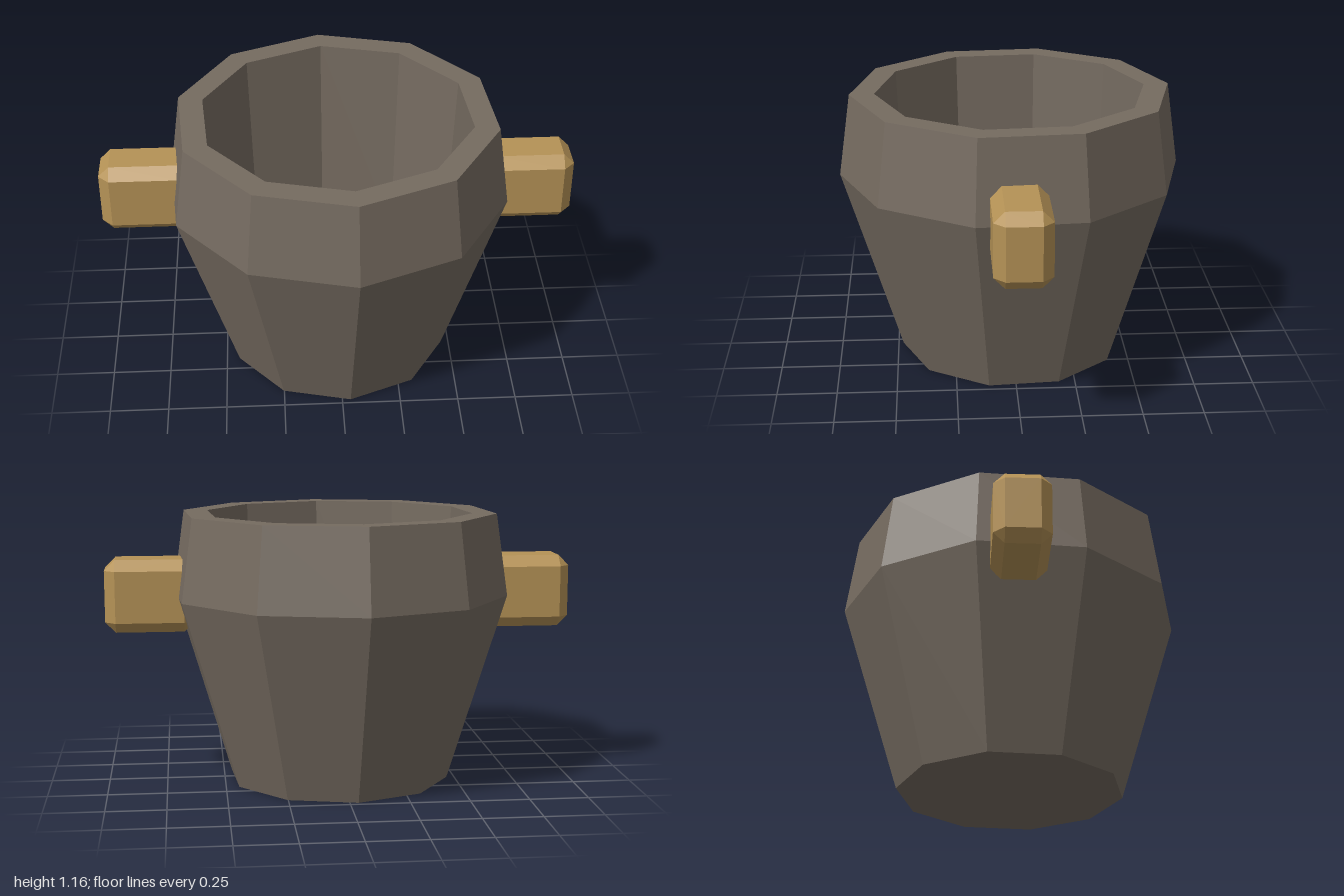
import * as THREE from 'three';
import { ConvexGeometry } from 'three/addons/geometries/ConvexGeometry.js';

// Box with every edge and corner chamfered by c
function chamferedBox(w, h, d, c) {
  const points = [];
  for (const sx of [-1, 1]) for (const sy of [-1, 1]) for (const sz of [-1, 1]) {
    const x = w / 2, y = h / 2, z = d / 2;
    points.push(
      new THREE.Vector3(sx * x, sy * (y - c), sz * (z - c)),
      new THREE.Vector3(sx * (x - c), sy * y, sz * (z - c)),
      new THREE.Vector3(sx * (x - c), sy * (y - c), sz * z)
    );
  }
  return new ConvexGeometry(points);
}

export function createModel() {
  const model = new THREE.Group();
  model.name = 'bucket';

  const stone = new THREE.MeshStandardMaterial({ color: 0x756b60, flatShading: true });
  stone.name = 'grey brown';
  const brass = new THREE.MeshStandardMaterial({ color: 0xb59256, flatShading: true });
  brass.name = 'brass';

  // Ten-sided hollow vessel: base, flared wall, inset rim, inner wall, floor
  const profile = [
    [0, 0], [0.48, 0], [0.73, 0.81], [0.68, 1.16],
    [0.575, 1.16], [0.535, 0.25], [0, 0.25],
  ].map(([r, y]) => new THREE.Vector2(r, y));
  const vessel = new THREE.Mesh(new THREE.LatheGeometry(profile, 10, 0.075), stone);
  vessel.name = 'vessel';
  model.add(vessel);

  // Side lugs, sunk into the wall
  const lugGeometry = chamferedBox(0.38, 0.31, 0.23, 0.045);
  for (const side of [-1, 1]) {
    const lug = new THREE.Mesh(lugGeometry, brass);
    lug.name = side > 0 ? 'leftLug' : 'rightLug';
    lug.position.set(side * 0.81, 0.815, 0);
    model.add(lug);
  }

  return model;
}
